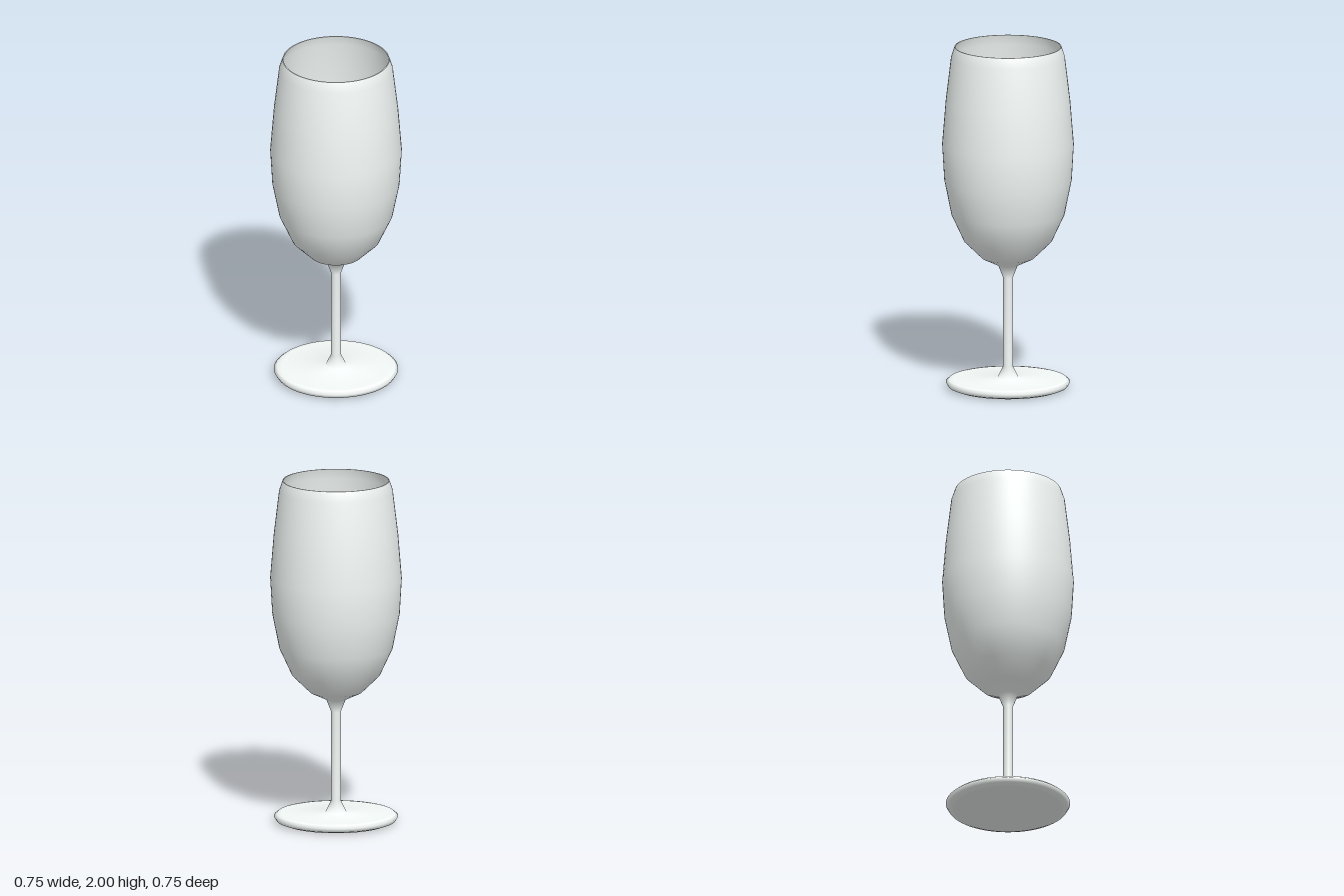
import * as THREE from 'three';

const SEGMENTS = 64;

export function createModel() {
  const group = new THREE.Group();
  const material = new THREE.MeshStandardMaterial({ color: 0xf3f9f7 });

  // Revolve a [radius, height] profile around the vertical axis
  const turn = (name, profile) => {
    const points = profile.map(([r, y]) => new THREE.Vector2(r, y));
    const mesh = new THREE.Mesh(new THREE.LatheGeometry(points, SEGMENTS), material);
    mesh.name = name;
    group.add(mesh);
  };

  // Flat underside of the foot
  turn('footUnderside', [[0, 0], [0.31, 0]]);

  // One smooth outer skin: foot rim, foot top, stem, flare and bowl
  turn('outerSkin', [
    [0.31, 0], [0.342, 0.012], [0.356, 0.035], [0.338, 0.05], [0.31, 0.054],
    [0.06, 0.059], [0.028, 0.125], [0.028, 0.645], [0.056, 0.717],
    [0.15, 0.762], [0.252, 0.862], [0.325, 1.02], [0.365, 1.22],
    [0.377, 1.43], [0.356, 1.69], [0.326, 1.94], [0.306, 2],
  ]);

  // Thin flat lip
  turn('lip', [[0.306, 2], [0.3, 2]]);

  // Inside of the bowl, level at the centre
  turn('bowlInside', [
    [0.3, 2], [0.319, 1.94], [0.349, 1.69], [0.37, 1.43], [0.358, 1.22],
    [0.318, 1.025], [0.246, 0.87], [0.146, 0.772], [0.056, 0.732],
    [0.02, 0.727], [0, 0.727],
  ]);

  return group;
}
